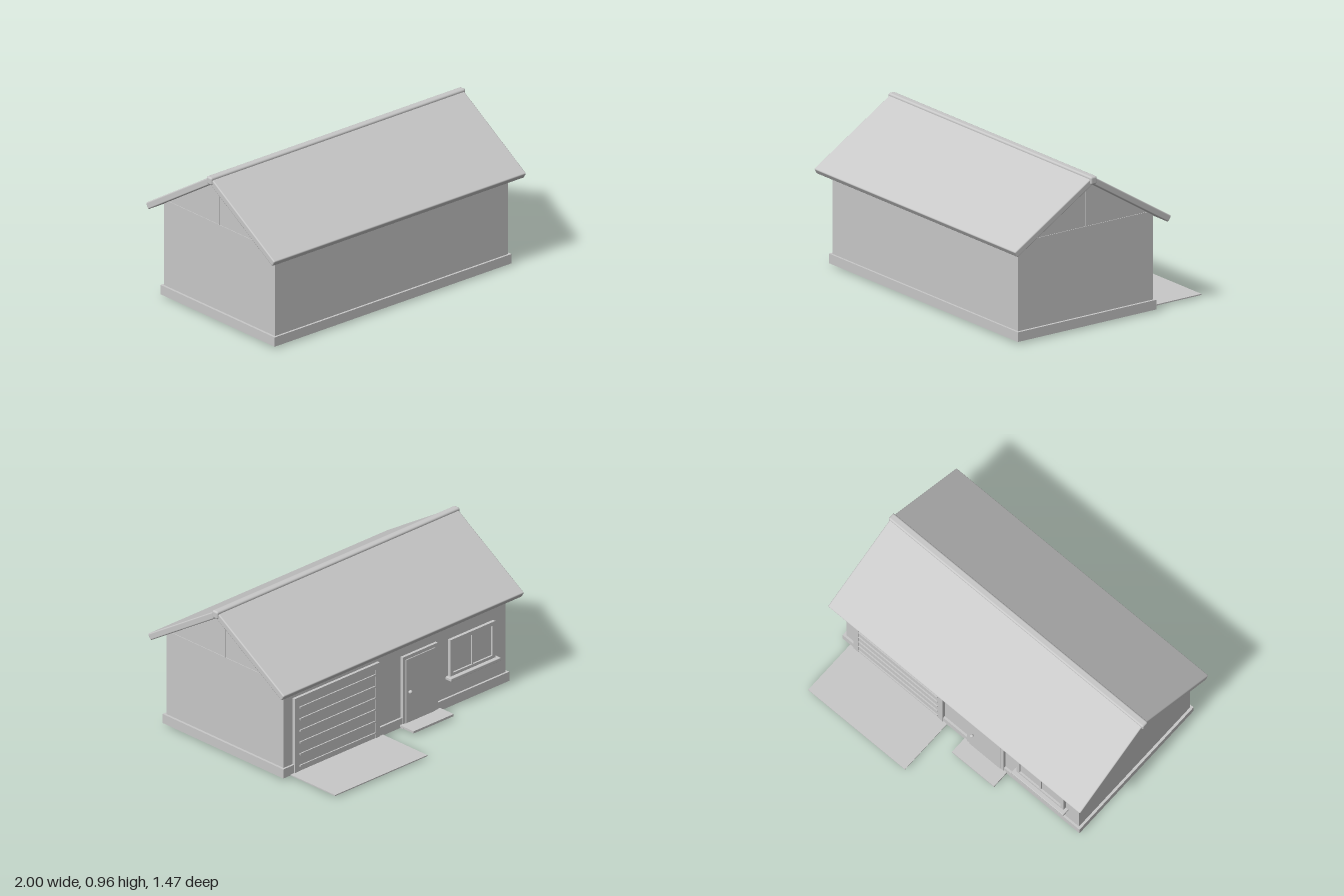
import * as THREE from 'three';
import { RoundedBoxGeometry } from 'three/addons/geometries/RoundedBoxGeometry.js';

const CZ = 0.155;    // ridge line in z
const BACK = -0.343; // outer face of the wall with the doors

export function createModel() {
  const house = new THREE.Group();
  house.name = 'garageHouse';
  const grey = new THREE.MeshStandardMaterial({ color: 0xc8c8c8 });
  grey.name = 'plain grey';

  const add = (name, geometry, parent = house) => {
    const mesh = new THREE.Mesh(geometry, grey);
    mesh.name = name;
    parent.add(mesh);
    return mesh;
  };
  // box given by its limits on each axis, optionally with rounded edges
  const box = (name, [x0, x1], [y0, y1], [z0, z1], parent = house, r = 0) => {
    const size = [x1 - x0, y1 - y0, z1 - z0];
    const g = r ? new RoundedBoxGeometry(...size, 2, r) : new THREE.BoxGeometry(...size);
    const mesh = add(name, g, parent);
    mesh.position.set((x0 + x1) / 2, (y0 + y1) / 2, (z0 + z1) / 2);
    return mesh;
  };
  const group = (name) => {
    const g = new THREE.Group();
    g.name = name;
    house.add(g);
    return g;
  };
  // rectangular frame facing the back, with an opening
  const frame = (name, [x0, x1], [y0, y1], w, bottom, [z0, z1], parent) => {
    box(name + 'Top', [x0, x1], [y1 - w, y1], [z0, z1], parent);
    box(name + 'Left', [x1 - w, x1], [y0, y1 - w], [z0, z1], parent);
    box(name + 'Right', [x0, x0 + w], [y0, y1 - w], [z0, z1], parent);
    if (bottom) box(name + 'Bottom', [x0 + w, x1 - w], [y0, y0 + w], [z0, z1], parent);
  };

  // plinth and walls
  box('plinth', [-0.93, 0.93], [0.015, 0.075], [-0.357, 0.667]);
  box('walls', [-0.914, 0.914], [0.07, 0.625], [BACK, 0.653]);

  // gable prism above the walls
  const tri = new THREE.Shape([
    new THREE.Vector2(-0.465, 0.622), new THREE.Vector2(0.465, 0.622), new THREE.Vector2(0, 0.912),
  ]);
  const prism = new THREE.ExtrudeGeometry(tri, { depth: 1.826, bevelEnabled: false });
  prism.translate(0, 0, -0.913).rotateY(Math.PI / 2).translate(0, 0, CZ);
  add('gables', prism);

  // thin battens on both gables
  for (const s of [-1, 1]) {
    const x = s > 0 ? [0.912, 0.917] : [-0.917, -0.912];
    box('gableTieBatten', x, [0.621, 0.629], [CZ - 0.46, CZ + 0.46]);
    box('gableCentreBatten', x, [0.625, 0.91], [CZ - 0.004, CZ + 0.004]);
  }

  // two roof slopes and the ridge cap
  for (const s of [-1, 1]) {
    const slope = add('roofSlope', new RoundedBoxGeometry(1.98, 0.042, 0.669, 2, 0.008));
    slope.position.set(0, 0.759, CZ + s * 0.284);
    slope.rotation.x = s * 0.555;
  }
  box('ridgeCap', [-1, 1], [0.911, 0.961], [CZ - 0.024, CZ + 0.024], house, 0.012);

  // garage door with horizontal ribs
  const garage = group('garageDoor');
  frame('garageFrame', [0.14, 0.84], [0.015, 0.51], 0.036, false, [-0.362, BACK + 0.005], garage);
  box('garagePanel', [0.176, 0.804], [0.015, 0.474], [-0.359, BACK + 0.005], garage);
  for (let i = 0; i < 6; i++) {
    const y = 0.055 + i * 0.077;
    box('garageRib', [0.18, 0.8], [y - 0.005, y + 0.005], [-0.367, -0.355], garage);
  }

  // entrance door with knob
  const door = group('entranceDoor');
  frame('doorFrame', [-0.337, -0.05], [0.002, 0.475], 0.022, true, [-0.362, -0.334], door);
  box('doorLeaf', [-0.315, -0.072], [0.024, 0.453], [-0.366, -0.34], door, 0.003);
  const knob = add('doorKnob', new THREE.SphereGeometry(0.012, 20, 14), door);
  knob.position.set(-0.1, 0.235, -0.375);

  // window with mullion and sill
  const win = group('window');
  frame('windowFrame', [-0.81, -0.44], [0.21, 0.455], 0.024, true, [-0.364, BACK + 0.005], win);
  box('windowPane', [-0.786, -0.464], [0.234, 0.431], [-0.352, BACK + 0.005], win);
  box('windowMullion', [-0.63, -0.62], [0.234, 0.431], [-0.36, -0.345], win);
  box('windowSill', [-0.83, -0.42], [0.194, 0.215], [-0.39, BACK + 0.005], win, 0.004);

  // door step and driveway
  box('doorStep', [-0.36, -0.03], [0.021, 0.035], [-0.473, -0.35]);
  box('driveway', [0.11, 0.87], [0.014, 0.021], [-0.735, -0.35]);

  return house;
}
